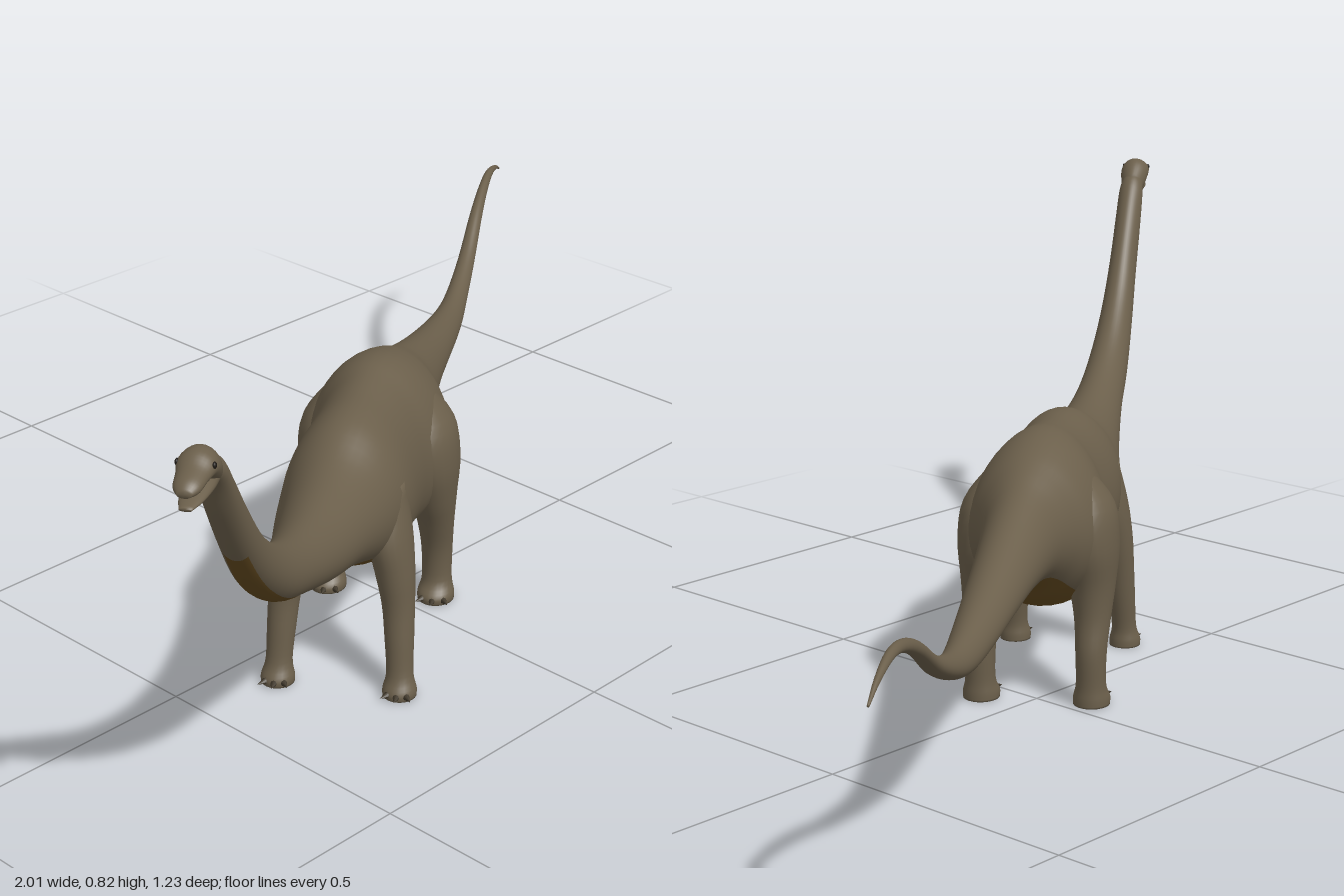
import * as THREE from 'three';

const material = (name, color) => {
  const m = new THREE.MeshStandardMaterial({ color });
  m.name = name;
  return m;
};
const hide = material('hide', 0x6b5f4b);
const underside = material('underside', 0x62491f);
const claw = material('claw', 0x40382b);
const dark = material('dark', 0x1c1813);

// Smooth spline through the rows of a table, steps samples per row
function refine(rows, steps) {
  const size = rows[0].length;
  const spline = new THREE.CubicInterpolant(rows.map((_, i) => i), rows.flat(), size);
  const out = [];
  for (let i = 0; i <= (rows.length - 1) * steps; i++) out.push([...spline.evaluate(i / steps)]);
  return out;
}

// Skin over closed rings with capped ends; paint(row, angle) picks a material index
function loft(rows, sides, point, paint = () => 0) {
  const pos = [], faces = [[], []];
  const ring = (i, j) => i * sides + (j % sides);
  rows.forEach((r) => {
    for (let j = 0; j < sides; j++) pos.push(...point(r, (j / sides) * Math.PI * 2));
  });
  for (let i = 0; i < rows.length - 1; i++) {
    for (let j = 0; j < sides; j++) {
      const a = ring(i, j), b = ring(i + 1, j), c = ring(i, j + 1), d = ring(i + 1, j + 1);
      faces[paint(rows[i], ((j + 0.5) / sides) * Math.PI * 2)].push(a, b, c, b, d, c);
    }
  }
  // End caps
  for (const i of [0, rows.length - 1]) {
    const centre = [0, 0, 0];
    for (let j = 0; j < sides; j++) for (let k = 0; k < 3; k++) centre[k] += pos[ring(i, j) * 3 + k] / sides;
    const c = pos.length / 3;
    pos.push(...centre);
    for (let j = 0; j < sides; j++) {
      if (i === 0) faces[0].push(c, ring(i, j), ring(i, j + 1));
      else faces[0].push(c, ring(i, j + 1), ring(i, j));
    }
  }
  const g = new THREE.BufferGeometry();
  g.setAttribute('position', new THREE.Float32BufferAttribute(pos, 3));
  g.setIndex([...faces[0], ...faces[1]]);
  g.addGroup(0, faces[0].length, 0);
  g.addGroup(faces[0].length, faces[1].length, 1);
  g.computeVertexNormals();
  return g;
}

// Upright section: row = [x, top, bottom, half width], a little wider below
const upright = ([x, top, bottom, w], a) => [
  x,
  (top + bottom) / 2 + ((top - bottom) / 2) * Math.sin(a),
  w * Math.cos(a) * (1 - 0.12 * Math.sin(a)),
];
// Level section for legs: row = [y, x, z, radius x, radius z]
const level = ([y, x, z, rx, rz], a) => [x + rx * Math.cos(a), y, z + rz * Math.sin(a)];

// Neck, trunk and tail from head end to tail tip
const BODY = [
  [-1.09, 0.80, 0.77, 0.018], [-1.05, 0.79, 0.735, 0.024], [-1.01, 0.75, 0.665, 0.026],
  [-0.94, 0.665, 0.565, 0.028], [-0.86, 0.575, 0.475, 0.033], [-0.76, 0.50, 0.40, 0.04],
  [-0.65, 0.452, 0.352, 0.047], [-0.54, 0.43, 0.31, 0.06], [-0.44, 0.428, 0.28, 0.075],
  [-0.36, 0.44, 0.245, 0.09], [-0.29, 0.468, 0.21, 0.104], [-0.24, 0.476, 0.19, 0.108],
  [-0.17, 0.477, 0.175, 0.106], [-0.11, 0.482, 0.165, 0.108], [-0.06, 0.487, 0.162, 0.12],
  [-0.01, 0.482, 0.17, 0.124], [0.05, 0.465, 0.20, 0.112], [0.10, 0.445, 0.235, 0.088],
  [0.16, 0.42, 0.258, 0.068], [0.27, 0.385, 0.268, 0.055], [0.40, 0.35, 0.265, 0.045],
  [0.52, 0.325, 0.257, 0.036], [0.62, 0.312, 0.256, 0.028], [0.70, 0.317, 0.274, 0.022],
  [0.80, 0.348, 0.316, 0.017], [0.90, 0.402, 0.375, 0.013], [0.98, 0.431, 0.41, 0.01],
  [1.05, 0.439, 0.424, 0.008], [1.12, 0.425, 0.415, 0.005], [1.172, 0.402, 0.398, 0.002],
];
const SKULL = [
  [-1.172, 0.791, 0.780, 0.010], [-1.158, 0.801, 0.778, 0.019], [-1.132, 0.809, 0.780, 0.023],
  [-1.11, 0.82, 0.778, 0.028], [-1.085, 0.817, 0.762, 0.027], [-1.05, 0.79, 0.74, 0.018],
];
const JAW = [
  [-1.168, 0.765, 0.759, 0.009], [-1.14, 0.770, 0.757, 0.017],
  [-1.10, 0.778, 0.753, 0.021], [-1.06, 0.785, 0.745, 0.018],
];
const HIND_LEG = [
  [0, 0.004, 0.1, 0.036, 0.033], [0.014, 0.004, 0.1, 0.036, 0.033], [0.04, 0.012, 0.1, 0.027, 0.027],
  [0.10, 0.012, 0.1, 0.03, 0.028], [0.16, -0.002, 0.1, 0.037, 0.033], [0.22, -0.014, 0.097, 0.055, 0.042],
  [0.29, -0.018, 0.091, 0.08, 0.053], [0.36, -0.02, 0.082, 0.078, 0.052], [0.42, -0.02, 0.065, 0.04, 0.025],
];
const FRONT_LEG = [
  [0, -0.336, 0.106, 0.03, 0.029], [0.013, -0.336, 0.106, 0.03, 0.029], [0.04, -0.33, 0.105, 0.023, 0.023],
  [0.10, -0.32, 0.102, 0.026, 0.025], [0.16, -0.31, 0.098, 0.03, 0.028], [0.22, -0.302, 0.09, 0.042, 0.034],
  [0.29, -0.29, 0.078, 0.058, 0.038], [0.37, -0.275, 0.07, 0.045, 0.03],
];

export function createModel() {
  const model = new THREE.Group();
  model.name = 'longNeckedDinosaur';
  const animal = new THREE.Group();
  animal.name = 'animal';
  // The animal stands diagonally
  animal.rotation.y = 0.548;
  model.add(animal);

  const add = (name, geometry, mat, parent = animal) => {
    const mesh = new THREE.Mesh(geometry, mat);
    mesh.name = name;
    parent.add(mesh);
    return mesh;
  };

  // Body with a darker tan strip along the underside
  const belly = ([x], a) => (x > -0.95 && x < 0.45 && Math.sin(a) < -0.8 ? 1 : 0);
  add('body', loft(refine(BODY, 4), 40, upright, belly), [hide, underside]);

  // Head with a slightly open mouth
  const head = new THREE.Group();
  head.name = 'head';
  animal.add(head);
  add('skull', loft(refine(SKULL, 5), 24, upright), [hide, hide], head);
  add('lowerJaw', loft(refine(JAW, 5), 24, upright), [hide, hide], head);

  for (const side of [-1, 1]) {
    const label = side > 0 ? 'left' : 'right';
    const eye = add(label + 'Eye', new THREE.SphereGeometry(0.005, 12, 8), dark, head);
    eye.position.set(-1.115, 0.803, side * 0.0255);
    eye.scale.z = 0.6;

    // Legs, each with three claws
    for (const [name, rows] of [['FrontLeg', FRONT_LEG], ['HindLeg', HIND_LEG]]) {
      const leg = new THREE.Group();
      leg.name = label + name;
      animal.add(leg);
      const mirrored = refine(rows, 4).map(([y, x, z, rx, rz]) => [y, x, side * z, rx, rz]);
      add('limb', loft(mirrored, 24, level), [hide, hide], leg);
      const [, footX, footZ, footR] = rows[0];
      for (const k of [-1, 0, 1]) {
        const toe = add('claw', new THREE.ConeGeometry(0.009, 0.026, 8), claw, leg);
        const turn = k * 0.6;
        const reach = footR + 0.003;
        toe.position.set(footX - Math.cos(turn) * reach, 0.009, side * footZ + Math.sin(turn) * reach);
        toe.rotation.set(0, turn, Math.PI / 2);
      }
    }
  }
  return model;
}
